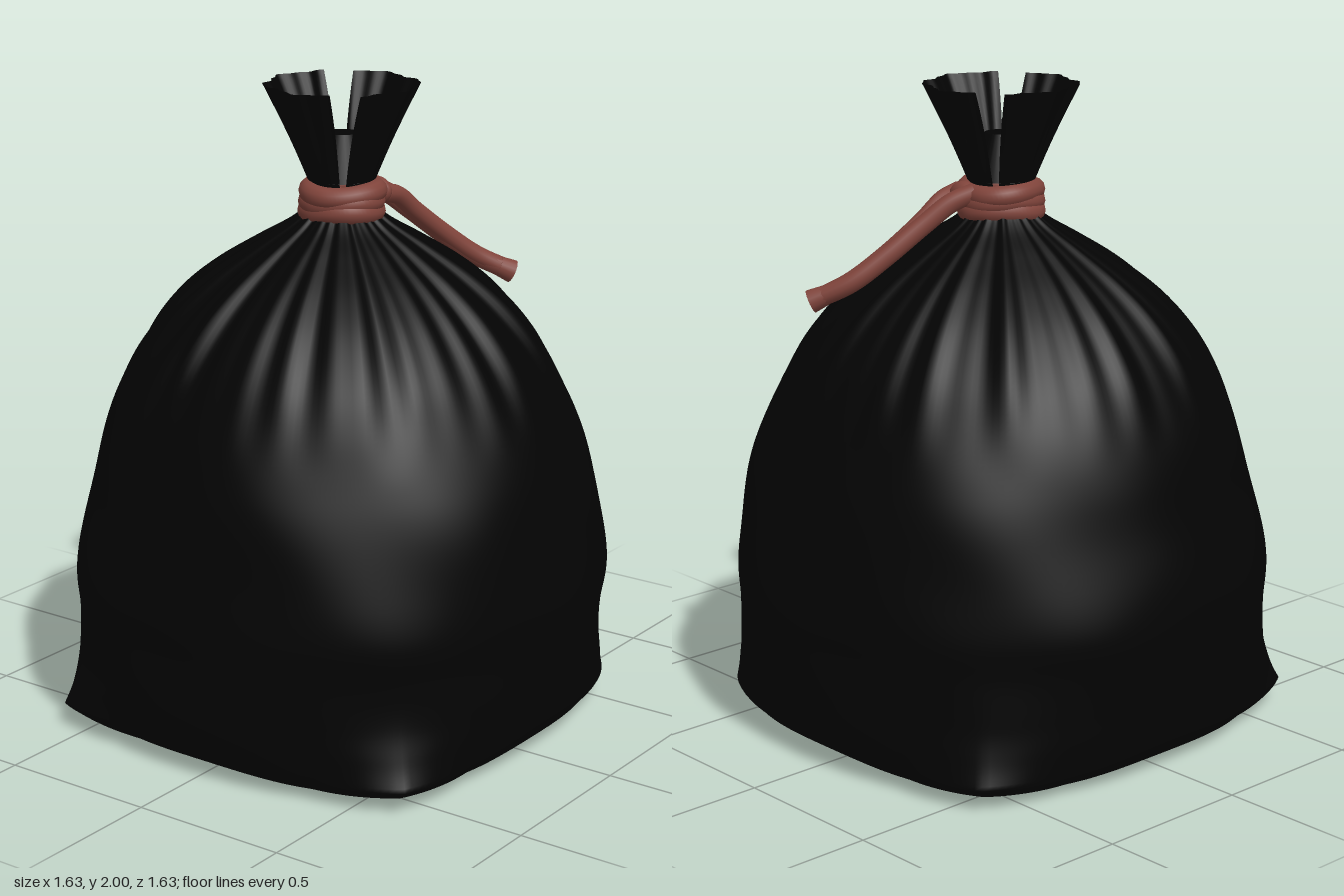
import * as THREE from 'three';

const blackPlastic = new THREE.MeshStandardMaterial({ color: 0x030303 });
blackPlastic.name = 'blackPlastic';
blackPlastic.side = THREE.DoubleSide;
const redCord = new THREE.MeshStandardMaterial({ color: 0x80443b });
redCord.name = 'redCord';

const smooth = THREE.MathUtils.smoothstep;
const bell = (d, width) => Math.exp(-((d / width) ** 2));
const angleGap = (a, b) => Math.atan2(Math.sin(a - b), Math.cos(a - b));

// Grid surface from point(u, v); rows run upward, columns run around y
function loft(cols, rows, closed, point) {
  const pos = [], idx = [];
  const n = closed ? cols : cols + 1;
  for (let i = 0; i <= rows; i++)
    for (let j = 0; j < n; j++) pos.push(...point(j / cols, i / rows));
  for (let i = 0; i < rows; i++)
    for (let j = 0; j < cols; j++) {
      const k = (j + 1) % n;
      const a = i * n + j, b = i * n + k, c = a + n, d = b + n;
      idx.push(a, c, b, b, c, d);
    }
  const g = new THREE.BufferGeometry();
  g.setAttribute('position', new THREE.Float32BufferAttribute(pos, 3));
  g.setIndex(idx);
  g.computeVertexNormals();
  return g;
}

// Half-width and height of the sack, from the middle of the base to the neck
const profile = new THREE.SplineCurve([
  [0, 0], [0.3, 0], [0.58, 0.003], [0.67, 0.022], [0.73, 0.065], [0.772, 0.15], [0.79, 0.25],
  [0.802, 0.38], [0.815, 0.5], [0.8, 0.66], [0.775, 0.82], [0.735, 0.95], [0.67, 1.1],
  [0.6, 1.22], [0.5, 1.335], [0.385, 1.43], [0.255, 1.515], [0.15, 1.58], [0.1, 1.63], [0.09, 1.69],
].map(([x, y]) => new THREE.Vector2(x, y)));
const corners = [[42.3, 0.125], [130.5, 0.125], [226.4, 0.1], [316.5, 0.065]]
  .map(([deg, size]) => [THREE.MathUtils.degToRad(deg), size]);

function sackPoint(u, v) {
  const a = u * Math.PI * 2;
  const p = profile.getPoint(v);
  const y = Math.max(0, p.y);
  // squared base with pointed corners
  let s = 1 + (0.15 * Math.exp(-y / 0.14) + 0.02 * bell(y - 0.45, 0.35)) * (1 - Math.cos(4 * a)) / 2;
  for (const [angle, size] of corners)
    s += size * Math.exp(-Math.abs(y - 0.07) / 0.09) * Math.max(0, 1 - Math.abs(angleGap(a, angle)) / 0.32);
  // pleats gathered into the neck
  const pleat = smooth(y, 0.95, 1.5);
  s += pleat * (0.025 * Math.cos(13 * a + 0.6) + 0.022 * Math.cos(19 * a + 2) + 0.018 * Math.cos(31 * a));
  s -= 0.06 * bell(angleGap(a, 1.95), 0.07) * bell(y - 1.2, 0.16);
  // soft dents in the sides
  const side = smooth(y, 0.15, 0.4) * (1 - smooth(y, 1, 1.3));
  s += side * (0.005 * Math.sin(5 * a + 7 * y) + 0.004 * Math.sin(9 * a - 11 * y));
  s -= 0.035 * bell(angleGap(a, 2.95), 0.65) * bell(y - 0.8, 0.15);
  return [p.x * s * Math.cos(a), y, p.x * s * Math.sin(a)];
}

// One half of the gathered mouth; slits open between the halves
function mouthPoint(start) {
  return (u, v) => {
    const slit = 0.08 + 0.12 * v;
    const a = start + slit + u * (Math.PI - 2 * slit);
    const y = 1.67 + 0.33 * v;
    const r = (0.09 + 0.155 * Math.pow(v, 1.1))
      * (1 + smooth(v, 0, 0.6) * (0.045 * (Math.cos(8 * a) - 1) + 0.02 * (Math.cos(20 * a) - 1)));
    return [r * Math.cos(a), y, r * Math.sin(a)];
  };
}

function cord(name, points, radius, closed = false) {
  const curve = new THREE.CatmullRomCurve3(points.map((p) => new THREE.Vector3(...p)), closed);
  const mesh = new THREE.Mesh(new THREE.TubeGeometry(curve, 64, radius, 12, closed), redCord);
  mesh.name = name;
  return mesh;
}

export function createModel() {
  const group = new THREE.Group();
  group.name = 'tiedSack';
  const add = (name, geometry, material) => {
    const mesh = new THREE.Mesh(geometry, material);
    mesh.name = name;
    group.add(mesh);
    return mesh;
  };

  add('sackBody', loft(240, 120, true, sackPoint), blackPlastic);
  const slitAngle = THREE.MathUtils.degToRad(52);
  add('mouthHalfA', loft(80, 18, false, mouthPoint(slitAngle)), blackPlastic);
  add('mouthHalfB', loft(80, 18, false, mouthPoint(slitAngle + Math.PI)), blackPlastic);

  // gathered core closing the neck above the cord
  const core = add('neckCore', new THREE.CylinderGeometry(0.05, 0.105, 0.14, 32), blackPlastic);
  core.position.y = 1.78;

  // turns of cord wound tightly together, slightly uneven
  const turns = [['lowerCordTurn', 1.616, 0.1, 0], ['middleCordTurn', 1.644, 0.098, 1], ['upperCordTurn', 1.671, 0.1, 2.2]];
  for (const [name, y, radius, phase] of turns) {
    const ring = [];
    for (let i = 0; i < 16; i++) {
      const a = (i / 16) * Math.PI * 2;
      const r = radius + 0.004 * Math.sin(3 * a + phase);
      ring.push([r * Math.cos(a) + 0.005, y + 0.006 * Math.sin(2 * a + phase), r * Math.sin(a) + 0.002]);
    }
    group.add(cord(name, ring, 0.035, true));
  }

  // knot at the back
  const knot = add('knot', new THREE.SphereGeometry(0.045, 20, 14), redCord);
  knot.scale.set(1.3, 1, 0.8);
  knot.position.set(0.05, 1.66, -0.105);

  // two strands joining into one loose tail
  group.add(cord('cordTail', [
    [0.01, 1.675, -0.1], [0.05, 1.645, -0.16], [0.09, 1.585, -0.23],
    [0.145, 1.49, -0.34], [0.2, 1.415, -0.43], [0.275, 1.365, -0.5],
  ], 0.031));
  group.add(cord('cordTailSecondStrand', [
    [0.11, 1.665, -0.07], [0.11, 1.645, -0.14], [0.118, 1.585, -0.22],
    [0.152, 1.495, -0.335], [0.206, 1.418, -0.428], [0.275, 1.365, -0.5],
  ], 0.029));

  // blunt, slightly flared end of the tail
  const end = add('cordEnd', new THREE.CylinderGeometry(0.037, 0.031, 0.05, 16), redCord);
  end.position.set(0.275, 1.365, -0.5);
  end.quaternion.setFromUnitVectors(
    new THREE.Vector3(0, 1, 0), new THREE.Vector3(0.07, -0.045, -0.07).normalize());

  return group;
}
